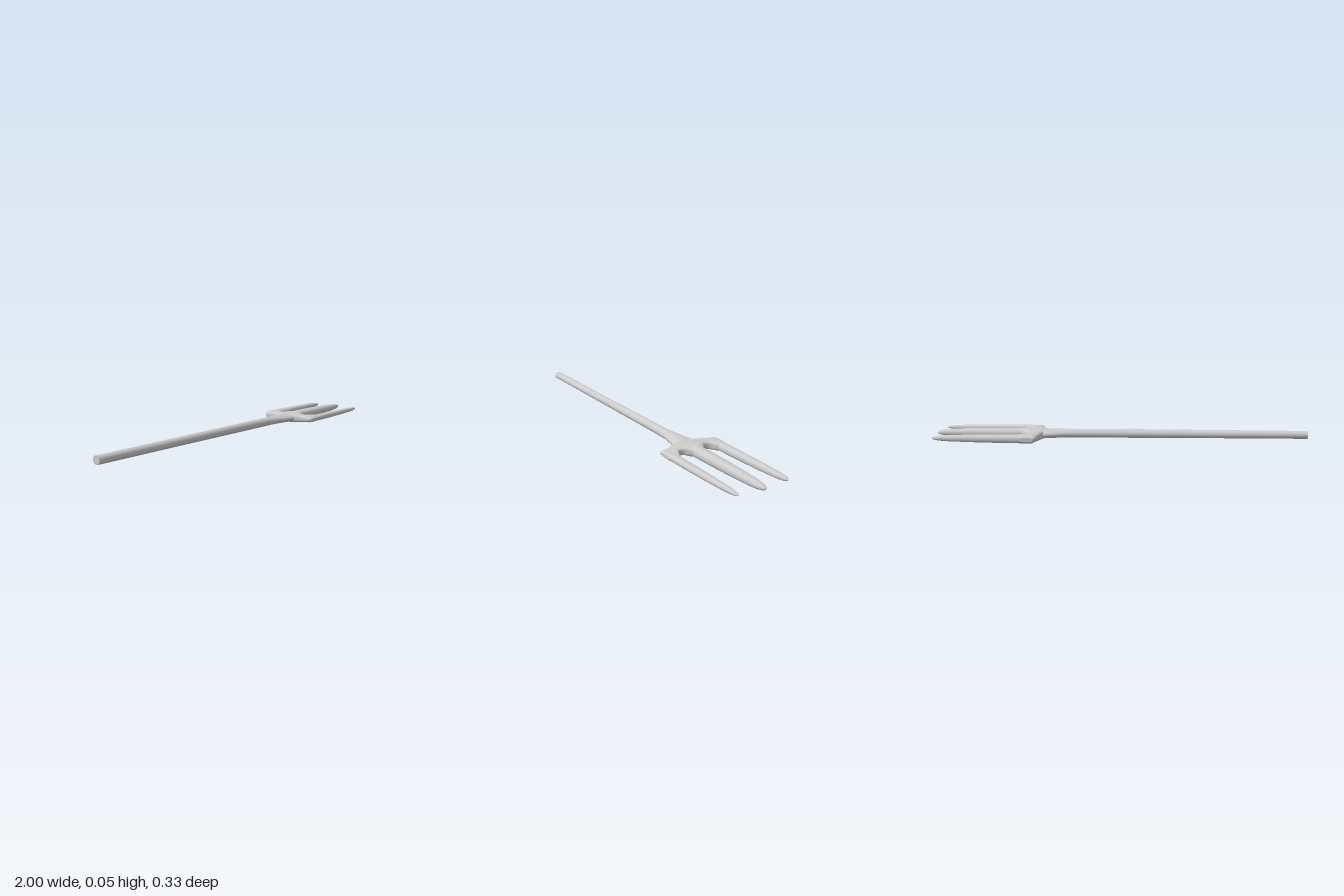
import * as THREE from 'three';

const material = new THREE.MeshStandardMaterial({ color: 0xcccccc });

// Lofts rounded sections [position, uMin, uMax, vMin, vMax] along 'x' (u = y, v = z)
// or 'z' (u = x, v = y). A power below 1 makes the sections boxier.
function loft(name, axis, sections, power = 1, sides = 24) {
  const positions = [], index = [];
  const round = (t) => Math.sign(t) * Math.abs(t) ** power;
  const mid = ([p, a, b, c, d]) => [p, (a + b) / 2, (a + b) / 2, (c + d) / 2, (c + d) / 2];
  const first = sections[0], last = sections[sections.length - 1];
  // end rings are doubled so the caps keep a crisp edge
  const rings = [mid(first), first, ...sections, last, mid(last)];
  rings.forEach(([p, u0, u1, v0, v1], i) => {
    for (let j = 0; j < sides; j++) {
      const a = (j / sides) * Math.PI * 2;
      const u = (u0 + u1) / 2 + ((u1 - u0) / 2) * round(Math.cos(a));
      const v = (v0 + v1) / 2 + ((v1 - v0) / 2) * round(Math.sin(a));
      positions.push(...(axis === 'x' ? [p, u, v] : [u, v, p]));
      if (i === rings.length - 1) continue;
      const k = (j + 1) % sides, r = i * sides, s = r + sides;
      index.push(r + j, r + k, s + j, r + k, s + k, s + j);
    }
  });
  const geometry = new THREE.BufferGeometry();
  geometry.setAttribute('position', new THREE.Float32BufferAttribute(positions, 3));
  geometry.setIndex(index);
  geometry.computeVertexNormals();
  const mesh = new THREE.Mesh(geometry, material);
  mesh.name = name;
  return mesh;
}

// A tine keeps its section, then narrows to a blunt rounded tip
function tine(name, length, y0, y1, z0, z1, tipY, tipZ) {
  const start = 0.45;
  const steps = [[0, 1], [0.35, 0.97], [0.65, 0.86], [0.82, 0.74], [0.91, 0.62],
    [0.96, 0.47], [0.985, 0.32], [0.996, 0.17], [1, 0.03]];
  const y = (y0 + y1) / 2, z = (z0 + z1) / 2;
  const sections = steps.map(([t, k]) => {
    const cy = y + (tipY - y) * t * t, cz = z + (tipZ - z) * t * t;
    const ry = ((y1 - y0) / 2) * k, rz = ((z1 - z0) / 2) * k;
    return [start + (length - start) * t, cy - ry, cy + ry, cz - rz, cz + rz];
  });
  return loft(name, 'x', sections, 0.85);
}

export function createModel() {
  const model = new THREE.Group();
  model.name = 'fork';

  // Slightly off-centre shaft that flares into the head
  model.add(loft('handle', 'x', [
    [-1, 0.013, 0.055, -0.008, 0.035],
    [-0.5, 0.011, 0.055, -0.013, 0.033],
    [0, 0.008, 0.055, -0.019, 0.03],
    [0.2, 0.007, 0.054, -0.023, 0.03],
    [0.28, 0.007, 0.053, -0.032, 0.034],
    [0.34, 0.006, 0.053, -0.045, 0.046],
    [0.4, 0.005, 0.053, -0.06, 0.06],
    [0.44, 0.006, 0.052, -0.07, 0.07],
    [0.46, 0.012, 0.046, -0.06, 0.06],
  ]));

  // Shoulder bar with rounded roots between the tines
  model.add(loft('head', 'z', [
    [-0.164, 0.445, 0.52, 0.017, 0.038],
    [-0.158, 0.434, 0.54, 0.01, 0.045],
    [-0.145, 0.43, 0.55, 0.007, 0.048],
    [-0.115, 0.425, 0.54, 0.006, 0.049],
    [-0.105, 0.423, 0.512, 0.006, 0.049],
    [-0.09, 0.42, 0.494, 0.005, 0.05],
    [-0.07, 0.414, 0.488, 0.005, 0.051],
    [-0.05, 0.405, 0.498, 0.004, 0.052],
    [-0.035, 0.395, 0.525, 0.003, 0.053],
    [0, 0.385, 0.55, 0.002, 0.054],
    [0.035, 0.395, 0.525, 0.003, 0.053],
    [0.05, 0.405, 0.498, 0.005, 0.052],
    [0.07, 0.414, 0.488, 0.006, 0.05],
    [0.09, 0.42, 0.494, 0.007, 0.048],
    [0.105, 0.423, 0.512, 0.008, 0.046],
    [0.115, 0.425, 0.54, 0.009, 0.045],
    [0.145, 0.43, 0.55, 0.011, 0.042],
    [0.158, 0.434, 0.54, 0.014, 0.04],
    [0.163, 0.445, 0.52, 0.019, 0.034],
  ], 0.6, 32));

  model.add(tine('middleTine', 1, 0, 0.055, -0.034, 0.034, 0.027, 0));
  model.add(tine('backTine', 0.985, 0.005, 0.049, -0.164, -0.112, 0.027, -0.142));
  model.add(tine('frontTine', 0.985, 0.009, 0.044, 0.115, 0.162, 0.027, 0.137));
  return model;
}
